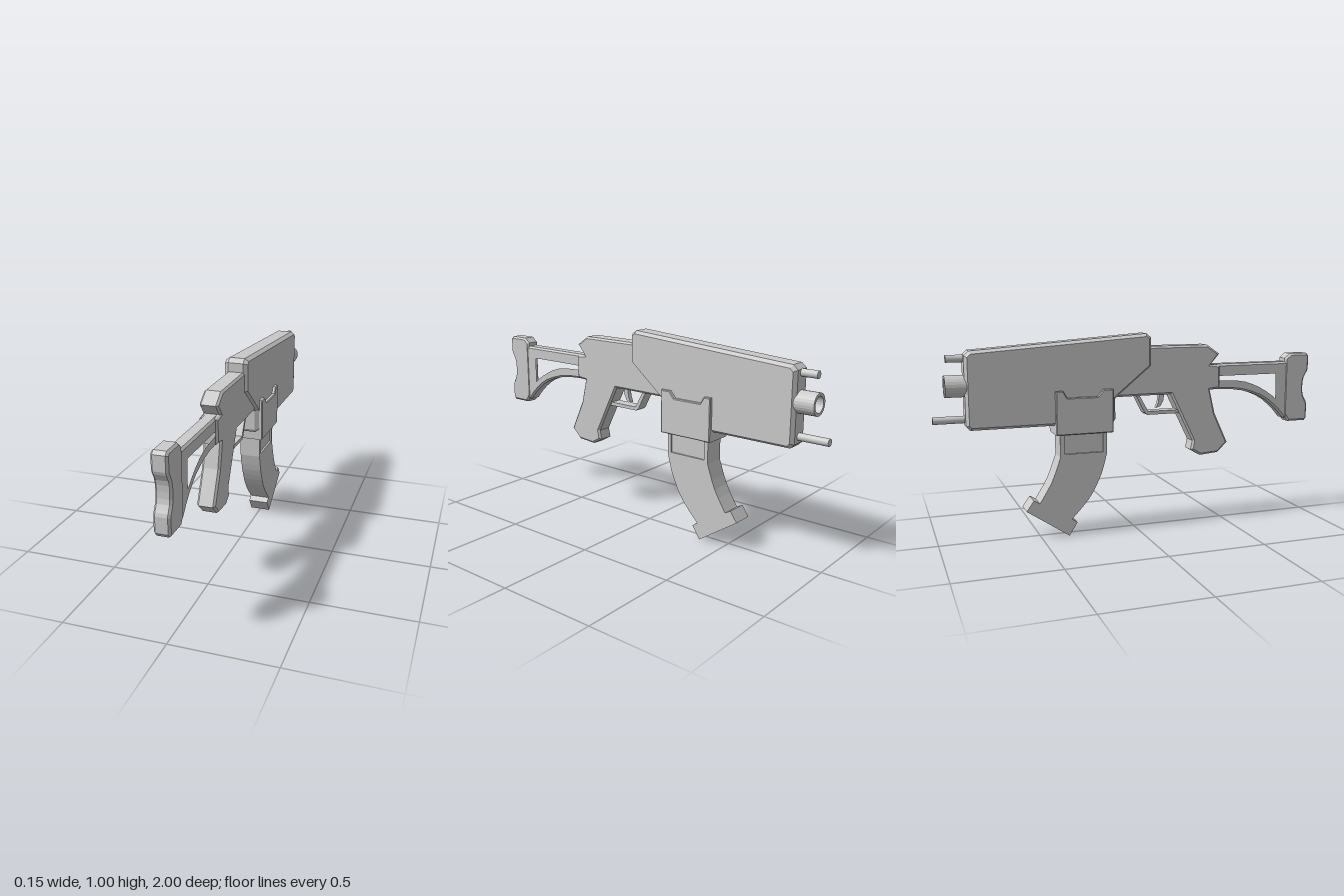
import * as THREE from 'three';

const mat = new THREE.MeshStandardMaterial({ color: 0xcccccc, flatShading: true });

// Smooth run of points through a few [z, y] guides
const curve = (pts, n = 10) =>
  new THREE.SplineCurve(pts.map(p => new THREE.Vector2(...p))).getPoints(n).map(v => [v.x, v.y]);

// Side profile in [z, y], extruded across x and centred, with chamfered edges
function plate(name, pts, halfWidth, bevel = 0, holes = [], bevelX = bevel) {
  const toVec = list => list.map(p => new THREE.Vector2(...p));
  const shape = new THREE.Shape(toVec(pts));
  for (const h of holes) shape.holes.push(new THREE.Path(toVec(h)));
  const depth = 2 * (halfWidth - bevelX);
  const geo = new THREE.ExtrudeGeometry(shape, {
    depth, bevelEnabled: bevel > 0, bevelSize: bevel, bevelThickness: bevelX,
    bevelOffset: -bevel, bevelSegments: 1,
  });
  geo.translate(0, 0, -depth / 2);
  geo.rotateY(-Math.PI / 2);
  const mesh = new THREE.Mesh(geo, mat);
  mesh.name = name;
  return mesh;
}

// Round rod along z
function rod(name, y, radius, zBack, zFront) {
  const geo = new THREE.CylinderGeometry(radius, radius, zBack - zFront, 20);
  geo.rotateX(Math.PI / 2);
  const mesh = new THREE.Mesh(geo, new THREE.MeshStandardMaterial({ color: 0xcccccc }));
  mesh.name = name;
  mesh.position.set(0, y, (zBack + zFront) / 2);
  return mesh;
}

export function createModel() {
  const model = new THREE.Group();
  model.name = 'rifle';

  // Large front housing with a sloping top
  model.add(plate('housing', [
    [0.08, 0.84], [0.08, 0.985], [0.055, 1.005], [-0.825, 0.942], [-0.85, 0.92], [-0.85, 0.585],
    [-0.83, 0.565], [-0.12, 0.565], [-0.11, 0.58], [-0.11, 0.685],
  ], 0.058, 0.014, [], 0.02));

  // Receiver and pistol grip in one piece
  model.add(plate('receiverAndGrip', [
    [-0.2, 0.69], [-0.2, 0.9], [0.0, 0.94], [0.39, 0.94], [0.46, 0.892], [0.412, 0.837], [0.465, 0.832],
    [0.465, 0.71], [0.41, 0.705], [0.44, 0.58], [0.515, 0.42], [0.46, 0.368], [0.36, 0.36],
    [0.305, 0.392], [0.315, 0.44], [0.19, 0.692],
  ], 0.045, 0.01));

  // Skeleton stock: straight upper bar and curved lower strut round an opening
  model.add(plate('stockFrame', [
    [0.4, 0.837], [0.89, 0.837], [0.89, 0.53],
    ...curve([[0.855, 0.53], [0.8, 0.59], [0.71, 0.655], [0.57, 0.698], [0.4, 0.705]]),
  ], 0.035, 0.01, [[
    [0.455, 0.785], [0.808, 0.785],
    ...curve([[0.808, 0.625], [0.71, 0.69], [0.6, 0.732], [0.455, 0.742]], 8),
  ]]));

  // Butt with a hollowed rear face
  model.add(plate('butt', [
    [0.855, 0.55], [0.855, 0.855], [0.885, 0.88], [0.985, 0.88], [1.0, 0.865], [1.0, 0.795],
    ...curve([[0.995, 0.78], [0.973, 0.735], [0.973, 0.66], [0.995, 0.615]], 8),
    [1.0, 0.6], [1.0, 0.525], [0.99, 0.51], [0.885, 0.51],
  ], 0.038, 0.01));

  // Trigger guard and trigger
  model.add(plate('triggerGuard', [
    [0.25, 0.59], [0.065, 0.59], [0.052, 0.6], [0.0, 0.7], [0.018, 0.7], [0.07, 0.608], [0.25, 0.608],
  ], 0.03));
  model.add(plate('trigger', [
    [0.165, 0.7], [0.16, 0.66], [0.145, 0.63], [0.12, 0.62], [0.132, 0.65], [0.138, 0.7],
  ], 0.012));

  // Magazine well clamped round the housing, notched at the top
  model.add(plate('magazineWell', [
    [-0.13, 0.52], [-0.13, 0.737], [-0.18, 0.737], [-0.21, 0.703], [-0.365, 0.703],
    [-0.385, 0.737], [-0.422, 0.737], [-0.422, 0.52],
  ], 0.075, 0.004));

  // Curved magazine with a flared foot and recessed side panels
  model.add(plate('magazine', [
    [-0.16, 0.54], ...curve([[-0.16, 0.41], [-0.19, 0.305], [-0.25, 0.19], [-0.345, 0.085]]),
    [-0.317, 0.065], [-0.36, 0], [-0.575, 0.145], [-0.538, 0.197], [-0.508, 0.18],
    ...curve([[-0.508, 0.18], [-0.445, 0.285], [-0.4, 0.405]], 6).slice(1), [-0.4, 0.54],
  ], 0.053, 0, [[[-0.178, 0.42], [-0.178, 0.515], [-0.378, 0.515], [-0.378, 0.42]]]));
  model.add(plate('magazinePanel', [
    [-0.17, 0.415], [-0.17, 0.52], [-0.385, 0.52], [-0.385, 0.415],
  ], 0.043));

  // Hollow barrel and the two guide rods
  const profile = [[0.053, 0.8], [0.053, 0.94], [0.038, 0.94], [0.038, 0.86], [0, 0.86]];
  const barrelGeo = new THREE.LatheGeometry(profile.map(p => new THREE.Vector2(...p)), 24);
  barrelGeo.rotateX(-Math.PI / 2);
  const barrel = new THREE.Mesh(barrelGeo,
    new THREE.MeshStandardMaterial({ color: 0xcccccc, flatShading: true, side: THREE.DoubleSide }));
  barrel.name = 'barrel';
  barrel.position.y = 0.775;
  model.add(barrel);
  model.add(rod('upperRod', 0.905, 0.018, -0.8, -0.93));
  model.add(rod('lowerRod', 0.615, 0.018, -0.8, -1.0));

  return model;
}
